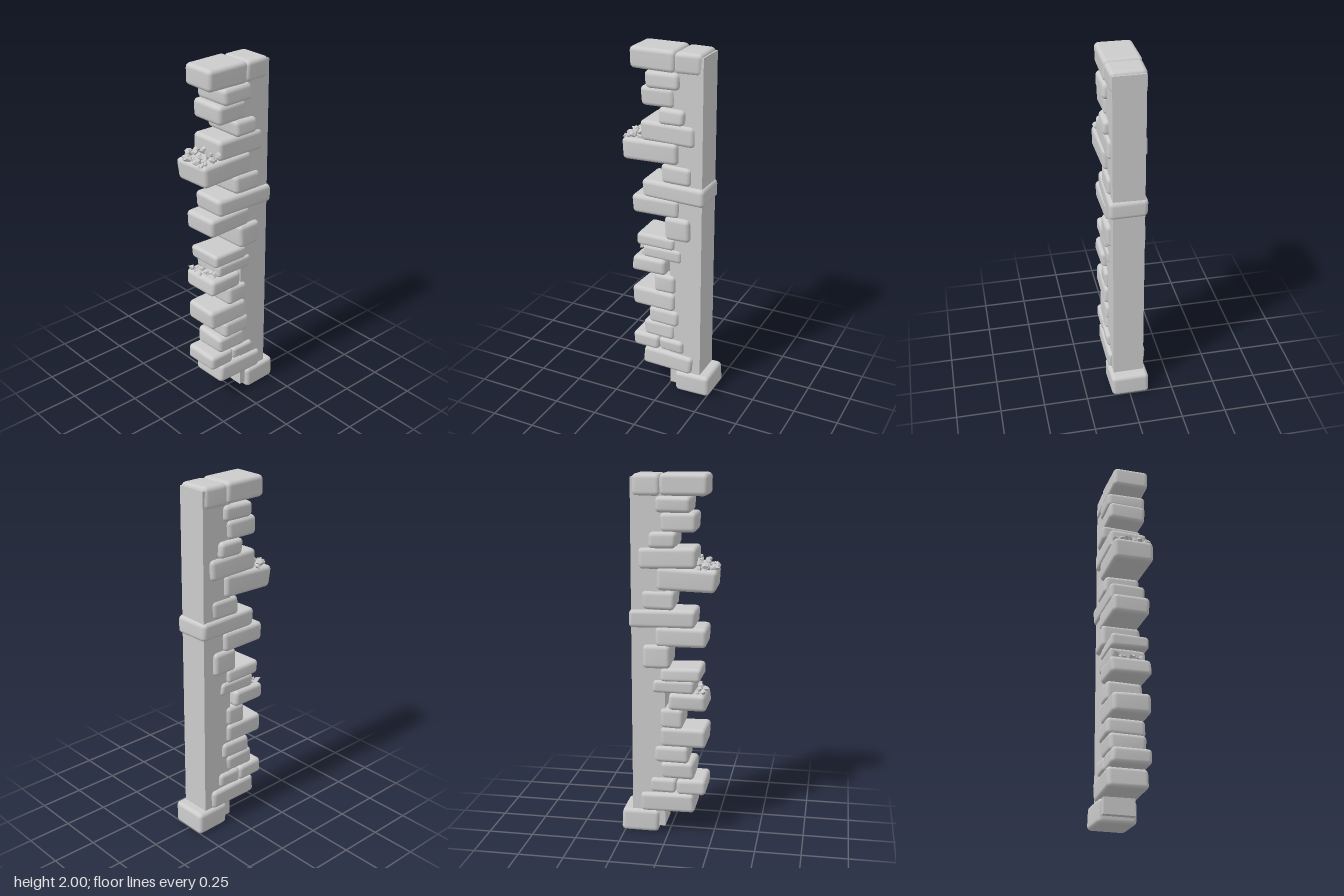
import * as THREE from 'three';
import { RoundedBoxGeometry } from 'three/addons/geometries/RoundedBoxGeometry.js';
import { mergeVertices } from 'three/addons/utils/BufferGeometryUtils.js';

// Small seeded generator
let seed = 7;
const rand = () => {
  seed = (seed * 16807) % 2147483647;
  return seed / 2147483647;
};
const spread = (a) => (rand() * 2 - 1) * a;

// Worn block: a rounded box whose eight corners are each nudged a little
function stoneGeometry(w, h, d) {
  let geo = new RoundedBoxGeometry(w, h, d, 3, Math.min(0.024, h * 0.27));
  geo.deleteAttribute('normal');
  geo.deleteAttribute('uv');
  geo = mergeVertices(geo, 1e-5);
  geo.clearGroups();
  const corners = Array.from({ length: 8 }, () => [spread(0.006), spread(0.004), spread(0.006)]);
  const p = geo.attributes.position;
  for (let i = 0; i < p.count; i++) {
    const v = [p.getX(i), p.getY(i), p.getZ(i)];
    const t = [v[0] / w + 0.5, v[1] / h + 0.5, v[2] / d + 0.5];
    corners.forEach((c, k) => {
      const f = (k & 1 ? t[0] : 1 - t[0]) * (k & 2 ? t[1] : 1 - t[1]) * (k & 4 ? t[2] : 1 - t[2]);
      for (let a = 0; a < 3; a++) v[a] += c[a] * f;
    });
    p.setXYZ(i, ...v);
  }
  geo.computeVertexNormals();
  return geo;
}

// Stones from bottom to top: z front, z back, y bottom, y top, half width, tilt
const STONES = [
  [-0.055, -0.265, 0.003, 0.133, 0.106, 0],
  [0.143, -0.16, 0.13, 0.243, 0.109, -0.03],
  [0.207, 0.045, 0.24, 0.33, 0.109, 0],
  [0.045, -0.105, 0.245, 0.33, 0.106, 0],
  [0.142, -0.042, 0.325, 0.425, 0.101, 0],
  [0.113, -0.075, 0.42, 0.515, 0.104, 0],
  [0.207, -0.05, 0.513, 0.625, 0.106, 0],
  [0.077, -0.05, 0.622, 0.735, 0.104, 0],
  [0.207, 0, 0.73, 0.825, 0.113, 0],
  [0.143, -0.09, 0.82, 0.895, 0.1, 0],
  [0.175, -0.044, 0.892, 0.965, 0.103, 0],
  [0.006, -0.144, 0.96, 1.09, 0.108, 0],
  [0.203, -0.075, 1.083, 1.19, 0.105, 0],
  [0.145, -0.218, 1.183, 1.285, 0.104, 0],
  [0.03, -0.144, 1.283, 1.388, 0.102, 0],
  [0.256, -0.068, 1.388, 1.508, 0.11, 0.03],
  [0.146, -0.16, 1.505, 1.617, 0.106, 0],
  [0.042, -0.104, 1.615, 1.7, 0.117, 0],
  [0.143, -0.044, 1.695, 1.8, 0.104, 0],
  [0.115, -0.075, 1.797, 1.885, 0.11, 0],
  [0.206, -0.048, 1.883, 1.999, 0.102, 0],
  [-0.044, -0.195, 1.885, 1.997, 0.097, 0],
];

export function createModel() {
  seed = 7;
  const model = new THREE.Group();
  model.name = 'brokenWallEdge';
  const grey = new THREE.MeshStandardMaterial({ color: 0xcccccc });
  const faceted = new THREE.MeshStandardMaterial({ color: 0xcccccc, flatShading: true });

  // Plain square-edged post behind the stones
  const core = new THREE.Mesh(new THREE.BoxGeometry(0.172, 1.94, 0.185), faceted);
  core.name = 'corePost';
  core.position.set(0, 1.01, -0.1125);
  model.add(core);

  // Stacked stones with a ragged front
  const stack = new THREE.Group();
  stack.name = 'stones';
  STONES.forEach(([front, back, bottom, top, half, tilt], i) => {
    const stone = new THREE.Mesh(stoneGeometry(half * 2, top - bottom, front - back), grey);
    stone.name = `stone${i + 1}`;
    stone.position.set(0, (bottom + top) / 2, (front + back) / 2);
    stone.rotation.x = tilt;
    stack.add(stone);
  });
  model.add(stack);

  // Sharp chips of rubble lying on a protruding stone
  function addRubble(name, count, x0, x1, y, z0, z1, size, heap) {
    const pile = new THREE.Group();
    pile.name = name;
    for (let i = 0; i < count; i++) {
      const r = size * (0.6 + rand() * 0.5);
      const shape = i % 2 ? new THREE.DodecahedronGeometry(r) : new THREE.OctahedronGeometry(r * 1.15);
      const chip = new THREE.Mesh(shape, faceted);
      chip.name = `chip${i + 1}`;
      const depth = rand();
      chip.position.set(
        x0 + ((x1 - x0) * (i + rand())) / count,
        y + r * 0.5 + heap * (1 - depth) * rand(),
        z0 + (z1 - z0) * depth
      );
      chip.scale.set(1.1, 0.75, 0.9);
      chip.rotation.set(spread(1), spread(3), spread(1));
      pile.add(chip);
    }
    model.add(pile);
  }
  addRubble('upperRubble', 24, -0.1, 0.105, 1.498, 0.145, 0.245, 0.023, 0.05);
  addRubble('lowerRubble', 9, -0.095, 0.07, 0.822, 0.15, 0.205, 0.018, 0.015);

  return model;
}
